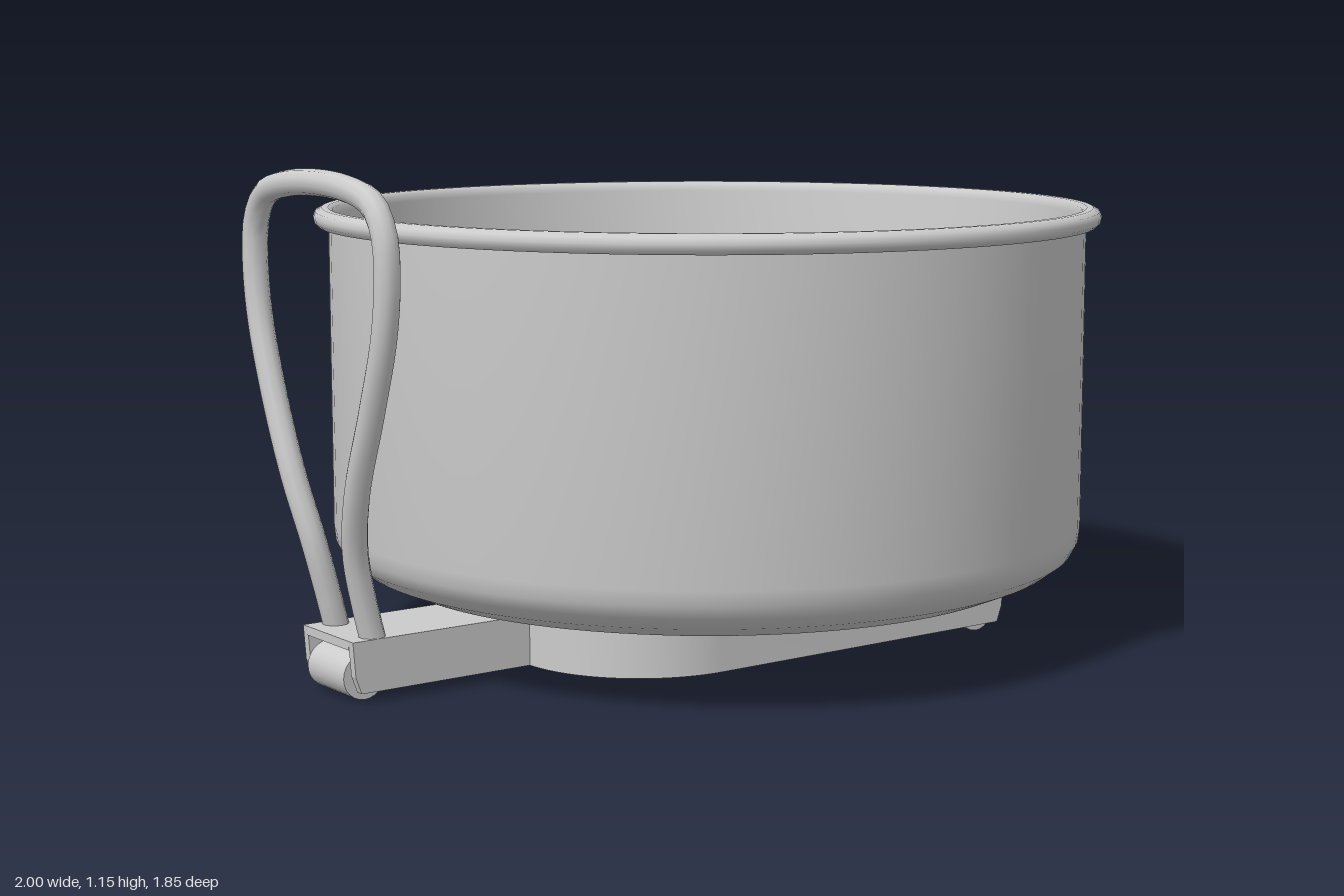
import * as THREE from 'three';
import { toCreasedNormals } from 'three/addons/utils/BufferGeometryUtils.js';

const material = new THREE.MeshStandardMaterial({ color: 0xcccccc });
const potX = 0.075;
const baseTop = 0.138, baseBottom = 0.022;

function add(parent, name, geometry) {
  const mesh = new THREE.Mesh(geometry, material);
  mesh.name = name;
  parent.add(mesh);
  return mesh;
}

// Hollow pot: outside from the centre up, rolled rim, inside back down
function potGeometry() {
  const profile = [
    [0, 0.14], [0.6, 0.14], [0.68, 0.146], [0.76, 0.165], [0.83, 0.195],
    [0.87, 0.225], [0.886, 0.255], [0.89, 0.29], [0.89, 0.99],
    [0.912, 0.991], [0.922, 1.0], [0.925, 1.013], [0.92, 1.026], [0.905, 1.034],
    [0.89, 1.034], [0.88, 1.027], [0.875, 1.01],
    [0.875, 0.29], [0.868, 0.25], [0.84, 0.215], [0.77, 0.182], [0.68, 0.163], [0.6, 0.157], [0, 0.157],
  ].map(([r, y]) => new THREE.Vector2(r, y));
  return toCreasedNormals(new THREE.LatheGeometry(profile, 96), 0.75);
}

// Two-pronged base plate, drawn in x and z
function forkGeometry() {
  const s = new THREE.Shape();
  s.moveTo(-0.86, -0.11);
  s.lineTo(-0.51, -0.11);
  s.absarc(-0.2, -0.11, 0.31, Math.PI, Math.PI * 1.5, false);
  s.lineTo(0.53, -0.42);
  s.lineTo(0.53, -0.21);
  s.lineTo(-0.13, -0.21);
  s.absarc(-0.13, -0.07, 0.14, Math.PI * 1.5, Math.PI, true);
  s.absarc(-0.13, 0.07, 0.14, Math.PI, Math.PI / 2, true);
  s.lineTo(0.53, 0.21);
  s.lineTo(0.53, 0.42);
  s.lineTo(-0.2, 0.42);
  s.absarc(-0.2, 0.11, 0.31, Math.PI / 2, Math.PI, false);
  s.lineTo(-0.86, 0.11);
  s.closePath();
  const g = new THREE.ExtrudeGeometry(s, { depth: baseTop - baseBottom, bevelEnabled: false, curveSegments: 14 });
  g.rotateX(Math.PI / 2).translate(0, baseTop, 0);
  return toCreasedNormals(g, 0.6);
}

// Hooded fork end with a roller; built along +x from its root
function rollerEnd(name, rootX, z, width, length, axleX) {
  const end = new THREE.Group();
  end.name = name;
  const wall = 0.02;
  const side = new THREE.Shape([
    [0, baseBottom], [length - 0.02, baseBottom], [length - 0.006, 0.06], [length, baseTop], [0, baseTop],
  ].map(([x, y]) => new THREE.Vector2(x, y)));
  for (const z0 of [-width / 2, width / 2 - wall]) {
    const cheek = add(end, 'rollerCheek', new THREE.ExtrudeGeometry(side, { depth: wall, bevelEnabled: false }));
    cheek.position.z = z0;
  }
  const hood = add(end, 'rollerHood', new THREE.BoxGeometry(length, 0.02, width - 2 * wall));
  hood.position.set(length / 2, baseTop - 0.01, 0);
  const roller = add(end, 'roller', new THREE.CylinderGeometry(0.052, 0.052, width - 0.062, 24));
  roller.rotation.x = Math.PI / 2;
  roller.position.set(axleX, 0.052, 0);
  const axle = add(end, 'axle', new THREE.CylinderGeometry(0.012, 0.012, width - wall, 12));
  axle.rotation.x = Math.PI / 2;
  axle.position.copy(roller.position);
  end.position.set(rootX, 0, z);
  return end;
}

// Looped push handle, narrow at the foot and wide at the top
function handleGeometry() {
  const leg = [
    [-0.89, 0.1, 0.08], [-0.915, 0.2, 0.08], [-0.945, 0.33, 0.092], [-0.965, 0.47, 0.14],
    [-0.97, 0.65, 0.215], [-0.97, 0.82, 0.272], [-0.97, 0.95, 0.287], [-0.97, 1.03, 0.276],
    [-0.97, 1.085, 0.235], [-0.97, 1.115, 0.12],
  ];
  const mirrored = leg.map(([x, y, z]) => [x, y, -z]).reverse();
  const points = [...leg, ...mirrored].map((p) => new THREE.Vector3(...p));
  return new THREE.TubeGeometry(new THREE.CatmullRomCurve3(points, false, 'centripetal'), 80, 0.029, 10, false);
}

export function createModel() {
  const model = new THREE.Group();
  model.name = 'rollingPot';

  add(model, 'pot', potGeometry()).position.x = potX;
  add(model, 'forkBase', forkGeometry());
  add(model, 'handle', handleGeometry());

  // Front rollers on both prongs, rear roller under the handle
  for (const s of [-1, 1]) model.add(rollerEnd('prongEnd', 0.53, s * 0.315, 0.21, 0.13, 0.07));
  const rear = rollerEnd('stemEnd', -0.86, 0, 0.22, 0.105, 0.06);
  rear.rotation.y = Math.PI;
  model.add(rear);

  return model;
}
